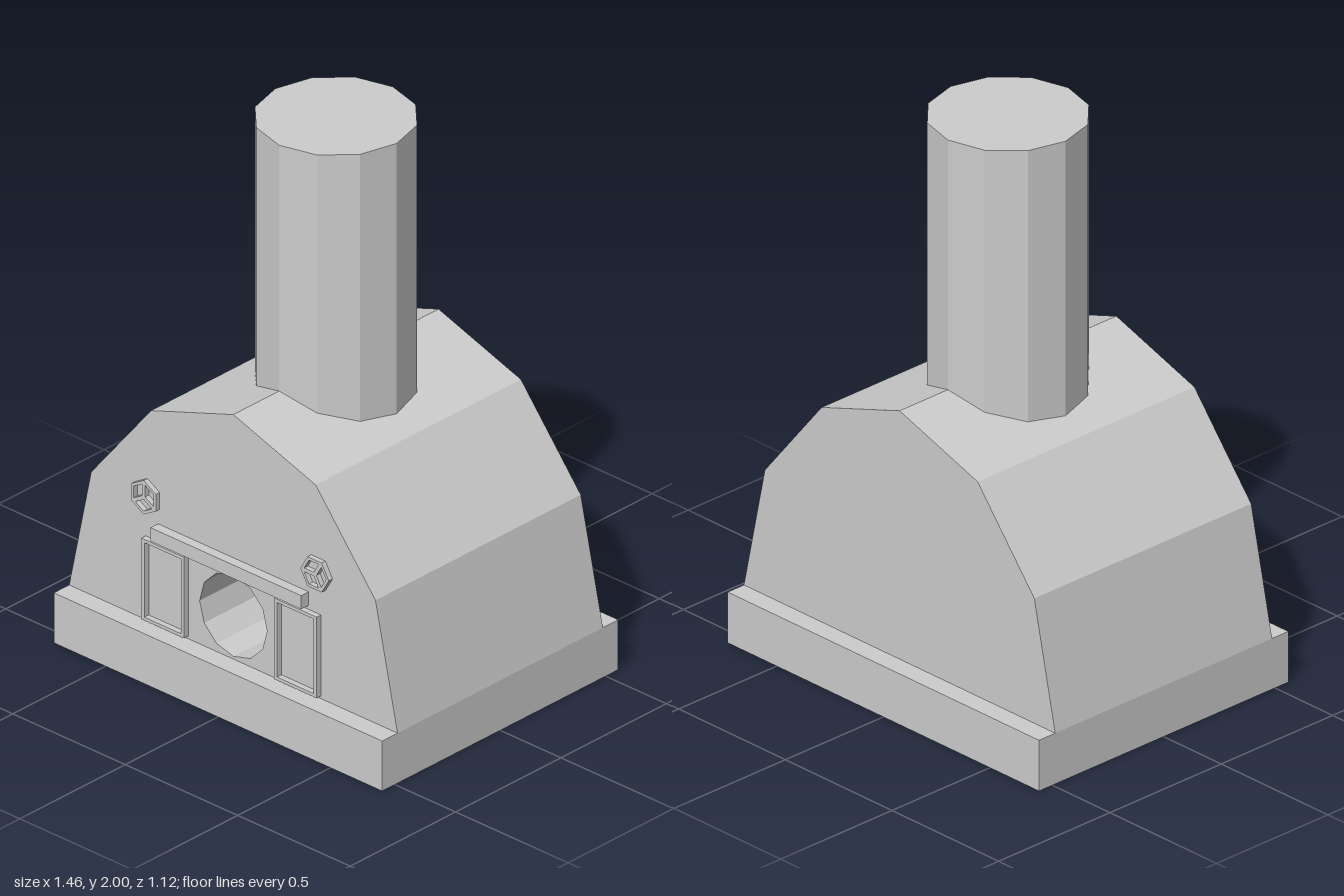
import * as THREE from 'three';

const stone = new THREE.MeshStandardMaterial({ color: 0xcccccc });
stone.name = 'greyStone';

const points = (list) => list.map(([x, y]) => new THREE.Vector2(x, y));
const polygon = (n, r, cx = 0, cy = 0, turn = 0) => points(Array.from({ length: n }, (_, i) => {
  const a = turn + (i / n) * Math.PI * 2;
  return [cx + r * Math.cos(a), cy + r * Math.sin(a)];
}));

export function createModel() {
  const model = new THREE.Group();
  model.name = 'hoodedOven';

  const add = (name, geometry, x = 0, y = 0, z = 0) => {
    // Split vertices so every facet stays flat
    const flat = geometry.index ? geometry.toNonIndexed() : geometry;
    flat.computeVertexNormals();
    const mesh = new THREE.Mesh(flat, stone);
    mesh.name = name;
    mesh.position.set(x, y, z);
    model.add(mesh);
    return mesh;
  };
  const extrude = (outline, holes, depth) => {
    const shape = new THREE.Shape(outline);
    for (const h of holes) shape.holes.push(new THREE.Path(h));
    return new THREE.ExtrudeGeometry(shape, { depth, bevelEnabled: false });
  };
  const rect = (x0, y0, x1, y1) => points([[x0, y0], [x1, y0], [x1, y1], [x0, y1]]);

  // Base slab
  add('base', new THREE.BoxGeometry(1.46, 0.185, 1.12), 0, 0.0925, 0);

  // Faceted hood, its front half bored by the round opening
  const face = 0.487, holeDepth = 0.6;
  const hood = points([[-0.73, 0.185], [0.73, 0.185], [0.632, 0.64], [0.366, 0.967],
    [0, 1.09], [-0.366, 0.967], [-0.632, 0.64]]);
  add('hoodBack', extrude(hood, [], 2 * face - holeDepth), 0, 0, -face);
  add('hoodFront', extrude(hood, [polygon(12, 0.15, 0, 0.345)], holeDepth), 0, 0, face - holeDepth);

  // Twelve-sided chimney
  add('chimney', new THREE.CylinderGeometry(0.27, 0.27, 1.1, 12), 0, 1.45, 0);

  // Ledge over the opening
  add('ledge', new THREE.BoxGeometry(0.67, 0.05, 0.037), 0, 0.535, face + 0.0175);

  // Recessed panel frames either side of the opening
  const frame = extrude(rect(-0.095, 0.195, 0.095, 0.495), [rect(-0.081, 0.207, 0.081, 0.483)], 0.021);
  for (const s of [-1, 1]) add(s > 0 ? 'leftPanelFrame' : 'rightPanelFrame', frame.clone(), s * 0.295, 0, face);

  // Hexagonal vents: three diamond openings between a rim and Y-shaped bars
  const diamonds = [0, 1, 2].map((k) => {
    const mid = Math.PI * (1 / 6 + (k * 2) / 3), r = 0.046;
    const cx = 0.008 * Math.cos(mid), cy = 0.008 * Math.sin(mid);
    const corner = (a, d) => [cx + d * Math.cos(a), cy + d * Math.sin(a)];
    return points([[cx, cy], corner(mid - Math.PI / 3, r * 0.93), corner(mid, r * 0.93),
      corner(mid + Math.PI / 3, r * 0.93)]);
  });
  const vent = extrude(polygon(6, 0.063, 0, 0, Math.PI / 6), diamonds, 0.018);
  add('rightVent', vent.clone(), -0.382, 0.647, face);
  add('leftVent', vent.clone(), 0.378, 0.647, face).rotation.z = Math.PI / 2;

  return model;
}
